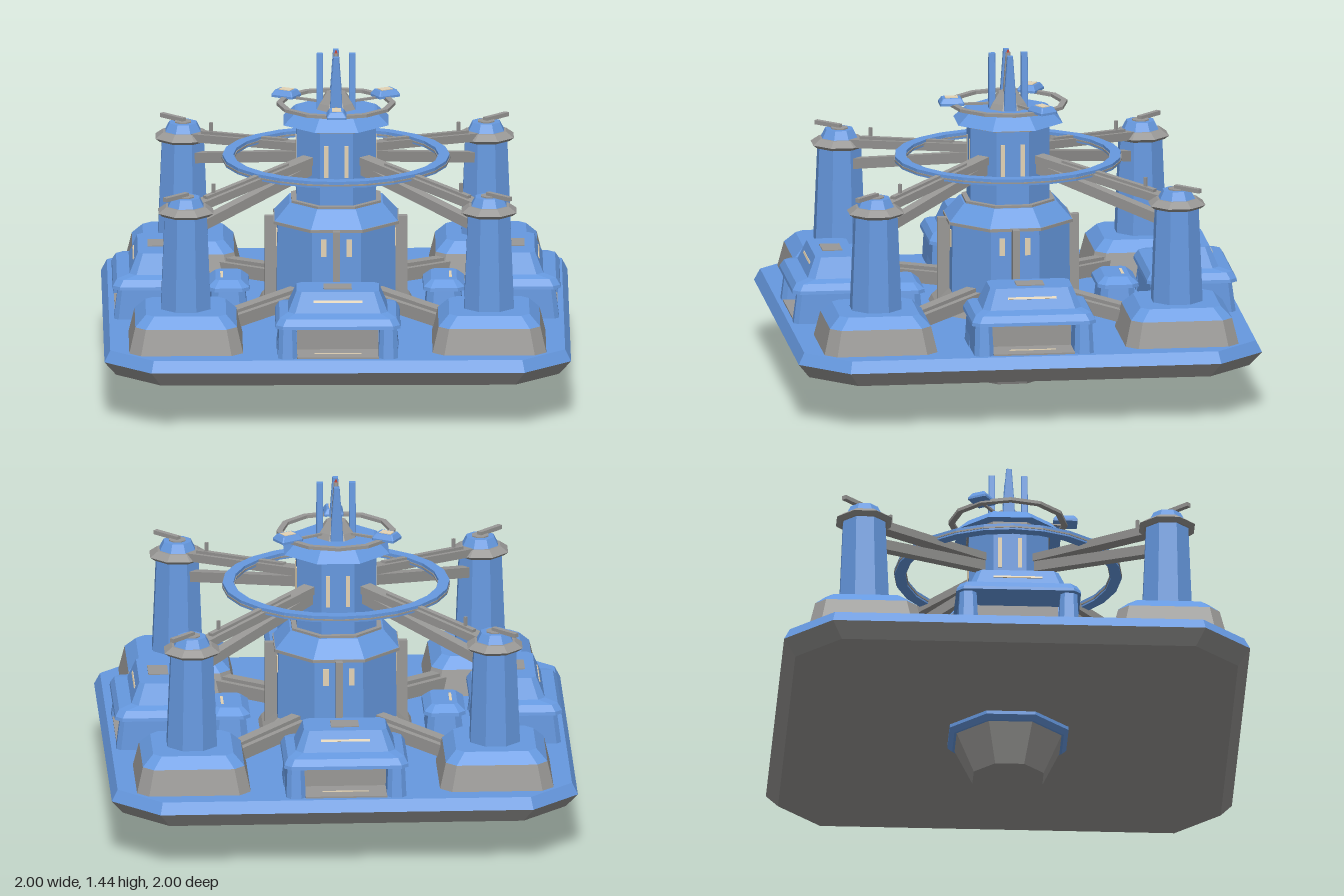
import * as THREE from 'three';

const mat = (name, color) => {
  const m = new THREE.MeshStandardMaterial({ color });
  m.name = name;
  return m;
};

// Stacked cross-sections [halfX, halfZ, y, cornerCut]; a chamfered rectangle at each level
function loft(levels) {
  const loops = levels.map(([x, z, y, c]) => [
    [x, -z + c], [x - c, -z], [-x + c, -z], [-x, -z + c],
    [-x, z - c], [-x + c, z], [x - c, z], [x, z - c],
  ].map(p => [p[0], y, p[1]]));
  const pos = [];
  const tri = (a, b, c) => pos.push(...a, ...b, ...c);
  for (let k = 0; k < loops.length - 1; k++) {
    const lo = loops[k], up = loops[k + 1];
    for (let i = 0; i < 8; i++) {
      const j = (i + 1) % 8;
      tri(lo[i], lo[j], up[j]);
      tri(lo[i], up[j], up[i]);
    }
  }
  const bot = loops[0], top = loops[loops.length - 1];
  for (let i = 1; i < 7; i++) {
    tri(top[0], top[i], top[i + 1]);
    tri(bot[0], bot[i + 1], bot[i]);
  }
  const g = new THREE.BufferGeometry();
  g.setAttribute('position', new THREE.Float32BufferAttribute(pos, 3));
  g.computeVertexNormals();
  return g;
}

// Regular octagonal stack from [apothem, y] pairs
const octa = list => loft(list.map(([a, y]) => [a, a, y, a * 0.586]));

// Flat-faced ring with a rectangular section
function ringGeo(r0, r1, y0, y1, n) {
  const pts = [[r1, y0], [r1, y1], [r0, y1], [r0, y0], [r1, y0]].map(p => new THREE.Vector2(...p));
  const g = new THREE.LatheGeometry(pts, n).toNonIndexed();
  g.computeVertexNormals();
  return g;
}

export function createModel() {
  const blue = mat('blue hull', 0x6699e0);
  const grey = mat('warm grey', 0x999896);
  const cream = mat('cream light', 0xe3d3b5);
  const red = mat('red beacon', 0xc04030);
  const model = new THREE.Group();
  model.name = 'station';

  const add = (parent, name, geo, m, x = 0, y = 0, z = 0) => {
    const mesh = new THREE.Mesh(geo, m);
    mesh.name = name;
    mesh.position.set(x, y, z);
    parent.add(mesh);
    return mesh;
  };
  const box = (parent, name, m, w, h, d, x, y, z) =>
    add(parent, name, new THREE.BoxGeometry(w, h, d), m, x, y, z);
  // Beam in the local yz plane
  const beam = (parent, name, m, w, h, z0, y0, z1, y1) => {
    const b = box(parent, name, m, w, h, Math.hypot(z1 - z0, y1 - y0), 0, (y0 + y1) / 2, (z0 + z1) / 2);
    b.rotation.x = -Math.atan2(y1 - y0, z1 - z0);
    return b;
  };
  const turned = (name, angle) => {
    const g = new THREE.Group();
    g.name = name;
    g.rotation.y = angle;
    model.add(g);
    return g;
  };

  // Platform
  add(model, 'platformUnderside', loft([[0.95, 0.95, 0.2, 0.19], [1, 1, 0.265, 0.2]]), grey);
  add(model, 'platformDeck', loft([[1, 1, 0.265, 0.2], [0.975, 0.975, 0.315, 0.185]]), blue);

  // Central core
  add(model, 'keel', octa([[0.15, 0], [0.225, 0.165]]), grey);
  add(model, 'keelCollar', octa([[0.235, 0.165], [0.255, 0.185], [0.255, 0.21]]), blue);
  add(model, 'coreFoot', octa([[0.33, 0.31], [0.315, 0.34], [0.255, 0.4]]), grey);
  add(model, 'coreBody', octa([[0.255, 0.39], [0.252, 0.7]]), blue);
  add(model, 'coreTrim', octa([[0.268, 0.698], [0.268, 0.711]]), grey);
  add(model, 'coreShoulder', octa([[0.264, 0.711], [0.2, 0.785]]), blue);
  add(model, 'shoulderTrim', octa([[0.192, 0.785], [0.192, 0.795]]), grey);
  add(model, 'upperCore', octa([[0.17, 0.79], [0.17, 1.12]]), blue);
  add(model, 'capTrim', octa([[0.178, 1.115], [0.178, 1.132]]), grey);
  add(model, 'cap', octa([[0.225, 1.13], [0.175, 1.18], [0.165, 1.185]]), blue);

  // Mast, prongs and beacon
  add(model, 'mastBase', octa([[0.085, 1.18], [0.07, 1.21], [0.04, 1.255]]), grey);
  add(model, 'mast', octa([[0.022, 1.25], [0.01, 1.425]]), grey);
  add(model, 'beacon', octa([[0.006, 1.425], [0.004, 1.436]]), red);

  // Large halo and its trim
  add(model, 'halo', ringGeo(0.44, 0.487, 0.952, 0.98, 24), blue);
  add(model, 'haloTrim', ringGeo(0.436, 0.49, 0.96, 0.967, 24), grey);

  // Small halo carrying three pods
  add(model, 'smallHalo', ringGeo(0.23, 0.256, 1.197, 1.211, 12), grey);
  for (let k = 0; k < 3; k++) {
    const g = turned('haloPod', k * Math.PI * 2 / 3);
    box(g, 'spoke', grey, 0.012, 0.01, 0.2, 0, 1.204, 0.14);
    add(g, 'pod', loft([[0.042, 0.052, 1.205, 0.004], [0.042, 0.052, 1.215, 0.004],
      [0.03, 0.04, 1.235, 0.004]]), blue, 0, 0, 0.245);
    box(g, 'podLight', cream, 0.04, 0.004, 0.055, 0, 1.236, 0.245);
  }

  for (let k = 0; k < 4; k++) {
    // Axis side: prong, windows, buttress, small module, hangar
    const s = turned('side', k * Math.PI / 2);
    add(s, 'prong', loft([[0.027, 0.014, 1.18, 0.003], [0.024, 0.014, 1.26, 0.003],
      [0.012, 0.014, 1.425, 0.003]]), blue, 0, 0, 0.07);
    for (const x of [-1, 1]) {
      box(s, 'lowerWindow', cream, 0.024, 0.075, 0.006, x * 0.055, 0.628, 0.254);
      box(s, 'upperWindow', cream, 0.018, 0.14, 0.006, x * 0.043, 0.988, 0.17);
    }
    box(s, 'buttress', grey, 0.03, 0.395, 0.055, 0, 0.512, 0.278);

    add(s, 'smallModuleBody', loft([[0.13, 0.08, 0.31, 0.03], [0.118, 0.07, 0.41, 0.028]]), blue, 0, 0, 0.462);
    add(s, 'smallModuleRoof', loft([[0.14, 0.09, 0.405, 0.03], [0.138, 0.088, 0.42, 0.03],
      [0.1, 0.055, 0.448, 0.015]]), blue, 0, 0, 0.462);
    box(s, 'smallModuleLight', cream, 0.1, 0.004, 0.012, 0, 0.448, 0.49);

    const h = new THREE.Group();
    h.name = 'hangar';
    h.position.z = 0.765;
    s.add(h);
    add(h, 'hangarBack', loft([[0.262, 0.11, 0.31, 0.03], [0.245, 0.1, 0.45, 0.03]]), blue, 0, 0, -0.075);
    for (const x of [-1, 1])
      add(h, 'hangarPier', loft([[0.042, 0.19, 0.31, 0.02], [0.036, 0.172, 0.45, 0.018]]), blue, x * 0.216, 0, 0);
    box(h, 'bayFloor', grey, 0.35, 0.008, 0.16, 0, 0.318, 0.105);
    box(h, 'bayWall', grey, 0.35, 0.125, 0.008, 0, 0.377, 0.037);
    box(h, 'bayLight', cream, 0.2, 0.004, 0.008, 0, 0.323, 0.12);
    add(h, 'hangarRoof', loft([[0.268, 0.195, 0.446, 0.03], [0.266, 0.193, 0.46, 0.03], [0.25, 0.176, 0.488, 0.028],
      [0.213, 0.122, 0.5, 0.03], [0.177, 0.086, 0.587, 0.022]]), blue);
    box(h, 'roofHatch', grey, 0.12, 0.006, 0.086, 0, 0.588, 0);
    const stripe = box(h, 'roofLight', cream, 0.21, 0.01, 0.006, 0, 0.547, 0.103);
    stripe.rotation.x = -0.39;

    // Corner tower
    const cx = k < 2 ? 0.65 : -0.65, cz = k % 2 ? 0.65 : -0.65;
    const t = new THREE.Group();
    t.name = 'cornerTower';
    t.position.set(cx, 0, cz);
    model.add(t);
    add(t, 'padBase', loft([[0.245, 0.245, 0.31, 0.05], [0.218, 0.218, 0.425, 0.045]]), grey);
    add(t, 'padTop', loft([[0.218, 0.218, 0.425, 0.045], [0.172, 0.172, 0.472, 0.035]]), blue);
    add(t, 'column', octa([[0.107, 0.465], [0.09, 0.89]]), blue);
    add(t, 'collar', octa([[0.1, 0.88], [0.118, 0.895], [0.085, 0.92]]), grey);
    add(t, 'turret', octa([[0.078, 0.915], [0.058, 0.957]]), blue);
    add(t, 'turretTop', octa([[0.035, 0.955], [0.035, 0.962]]), grey);
    const gun = new THREE.Group();
    gun.name = 'barrelMount';
    gun.rotation.y = Math.atan2(cx, cz);
    t.add(gun);
    box(gun, 'barrel', grey, 0.022, 0.018, 0.135, 0, 0.967, 0.06);

    // Diagonal struts between core and tower
    const d = turned('diagonal', Math.PI / 4 + k * Math.PI / 2);
    beam(d, 'upperArm', grey, 0.06, 0.035, 0.15, 0.985, 0.84, 0.905);
    beam(d, 'armRib', grey, 0.024, 0.02, 0.3, 0.985, 0.8, 0.93);
    beam(d, 'lowerBrace', grey, 0.045, 0.045, 0.16, 0.945, 0.84, 0.815);
    box(d, 'armPost', grey, 0.012, 0.06, 0.012, 0, 0.955, 0.75);
    beam(d, 'floorStrut', grey, 0.1, 0.055, 0.22, 0.395, 0.68, 0.365);
    beam(d, 'floorStrutRib', grey, 0.05, 0.02, 0.24, 0.428, 0.66, 0.398);
  }

  return model;
}
